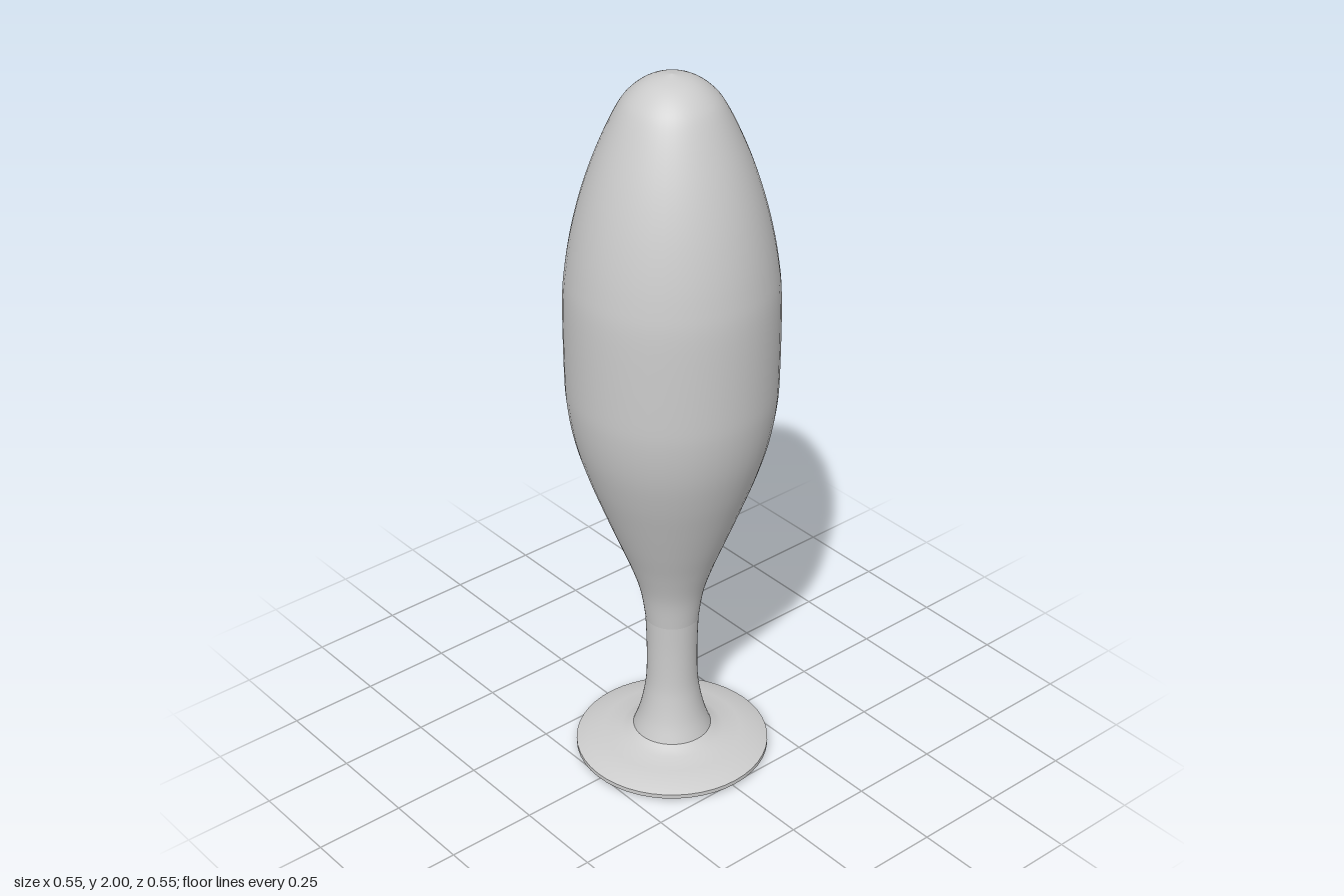
import * as THREE from 'three';
import { toCreasedNormals } from 'three/addons/utils/BufferGeometryUtils.js';

const SIDES = 48;
const material = new THREE.MeshStandardMaterial({ color: 0xcccccc });

const toPoints = (pairs) => pairs.map(([r, y]) => new THREE.Vector2(r, y));

// Spins a profile (radius, height), listed from bottom to top, around the y axis
function turned(name, points, crease) {
  let geometry = new THREE.LatheGeometry(points, SIDES);
  if (crease) geometry = toCreasedNormals(geometry, crease);
  const mesh = new THREE.Mesh(geometry, material);
  mesh.name = name;
  return mesh;
}

// Smooths a profile with a spline and keeps its radii from going negative
function smoothProfile(pairs, steps) {
  const points = new THREE.SplineCurve(toPoints(pairs)).getPoints(steps);
  points.forEach((p) => { p.x = Math.max(p.x, 0); });
  return points;
}

export function createModel() {
  const group = new THREE.Group();
  group.name = 'closedGoblet';

  // Flat disc with a thin rim and a low stepped rise to the stem
  group.add(turned('foot', toPoints([
    [0, 0], [0.25, 0], [0.265, 0.01], [0.265, 0.022], [0.235, 0.035],
    [0.19, 0.045], [0.14, 0.052], [0.12, 0.062], [0.107, 0.07],
  ]), 0.6));

  // Stem flaring into the foot
  group.add(turned('stem', smoothProfile([
    [0.107, 0.07], [0.09, 0.12], [0.077, 0.18], [0.07, 0.24], [0.069, 0.34], [0.072, 0.43],
  ], 24)));

  // Long egg-shaped bowl, closed at the top
  group.add(turned('bowl', smoothProfile([
    [0.072, 0.43], [0.086, 0.52], [0.115, 0.61], [0.15, 0.7], [0.188, 0.8],
    [0.224, 0.9], [0.253, 1.0], [0.27, 1.1], [0.275, 1.2], [0.275, 1.4],
    [0.266, 1.5], [0.248, 1.6], [0.222, 1.7], [0.187, 1.8], [0.142, 1.9],
    [0.108, 1.95], [0.06, 1.985], [0, 2],
  ], 80)));

  return group;
}
